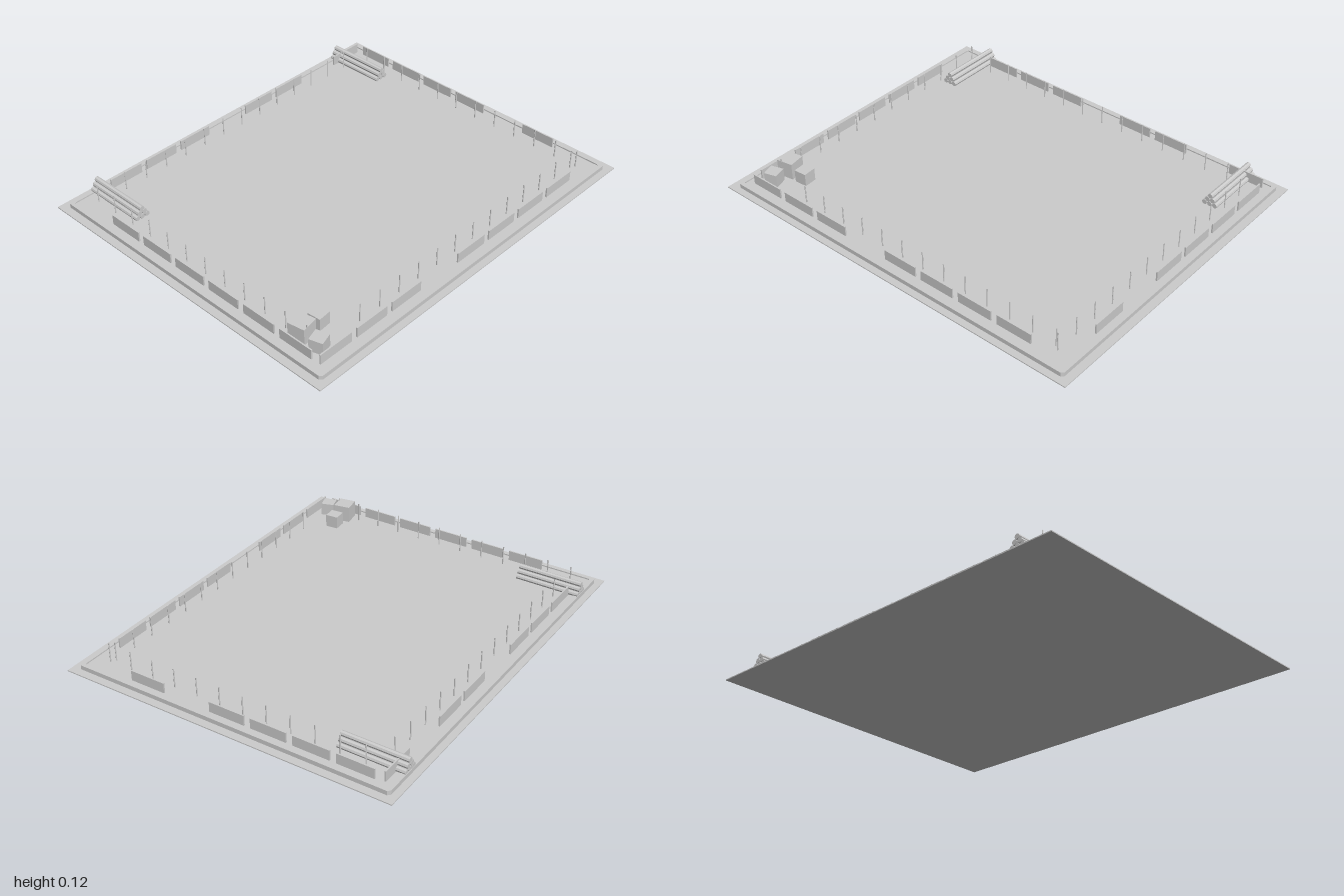
import * as THREE from 'three';

const FLOOR = 0.02; // height of the raised yard floor

export function createModel() {
  const root = new THREE.Group();
  const mat = new THREE.MeshStandardMaterial({ color: 0xcccccc, flatShading: true });

  const add = (name, geo, x, y, z, ry = 0, parent = root) => {
    const mesh = new THREE.Mesh(geo, mat);
    mesh.name = name;
    mesh.position.set(x, y, z);
    mesh.rotation.y = ry;
    parent.add(mesh);
    return mesh;
  };
  const group = (name) => {
    const g = new THREE.Group();
    g.name = name;
    root.add(g);
    return g;
  };

  // Ground plate and raised yard floor
  add('groundPlate', new THREE.BoxGeometry(1.67, 0.005, 2), 0, 0.0025, 0);
  add('yardFloor', new THREE.BoxGeometry(1.59, FLOOR - 0.004, 1.91), 0, (FLOOR + 0.004) / 2, 0);

  // Low kerb running round the floor, with clipped corners
  const kerbPath = (w, d, c) => [
    [-w + c, -d], [w - c, -d], [w, -d + c], [w, d - c],
    [w - c, d], [-w + c, d], [-w, d - c], [-w, -d + c],
  ].map(([x, y]) => new THREE.Vector2(x, y));
  const kerb = new THREE.Shape(kerbPath(0.802, 0.962, 0.012));
  kerb.holes.push(new THREE.Path(kerbPath(0.78, 0.942, 0.006).reverse()));
  const kerbGeo = new THREE.ExtrudeGeometry(kerb, { depth: 0.022, bevelEnabled: false });
  kerbGeo.rotateX(-Math.PI / 2);
  add('kerb', kerbGeo, 0, 0.004, 0);

  // Fence panels, with missing ones on each side
  const fence = group('fence');
  const panelGeo = new THREE.BoxGeometry(0.18, 0.05, 0.007);
  const pitch = 0.212;
  const panelRow = (start, slots, place) => slots.forEach((i) => {
    const [x, z, ry] = place(start + i * pitch);
    add('fencePanel', panelGeo, x, FLOOR + 0.025, z, ry, fence);
  });
  panelRow(-0.618, [0, 1, 2, 3, 5], (t) => [t, -0.917, 0]);
  panelRow(-0.448, [0, 1, 2, 3, 4, 5], (t) => [t, 0.91, 0]);
  panelRow(-0.666, [0, 1, 2, 3, 5, 6, 7], (t) => [0.745, t, Math.PI / 2]);
  panelRow(-0.82, [0, 2, 3, 5, 6, 7], (t) => [-0.75, t, Math.PI / 2]);

  // Thin posts standing inside the fence
  const posts = group('posts');
  const postGeo = new THREE.CylinderGeometry(0.003, 0.003, 0.095, 6);
  const postRow = (start, count, place) => {
    for (let i = 0; i < count; i++) {
      const [x, z] = place(start + i * 0.1215);
      add('post', postGeo, x, FLOOR + 0.0475, z, 0, posts);
    }
  };
  postRow(-0.63, 12, (t) => [t, -0.86]);
  postRow(-0.715, 12, (t) => [t, 0.855]);
  postRow(-0.84, 13, (t) => [0.69, t]);
  postRow(-0.75, 13, (t) => [-0.697, t]);

  // Two pipe stacks, three-two-one
  const pipeGeo = new THREE.CylinderGeometry(0.0125, 0.0125, 0.325, 8);
  pipeGeo.rotateZ(Math.PI / 2);
  for (const z of [-0.8, 0.795]) {
    const stack = group('pipeStack');
    for (let row = 0; row < 3; row++) {
      const n = 3 - row;
      for (let i = 0; i < n; i++) {
        add('pipe', pipeGeo, -0.637, FLOOR + 0.0115 + row * 0.0215,
          z + (i - (n - 1) / 2) * 0.027, 0, stack);
      }
    }
  }

  // Crates in the front corner
  const crates = group('crates');
  for (const [x, z, size, h, ry] of [
    [0.58, 0.843, 0.083, 0.083, 0.17],
    [0.68, 0.845, 0.065, 0.063, 0.3],
    [0.58, 0.745, 0.064, 0.063, 0.08],
  ]) {
    add('crate', new THREE.BoxGeometry(size, h, size), x, FLOOR + h / 2, z, ry, crates);
  }

  return root;
}
